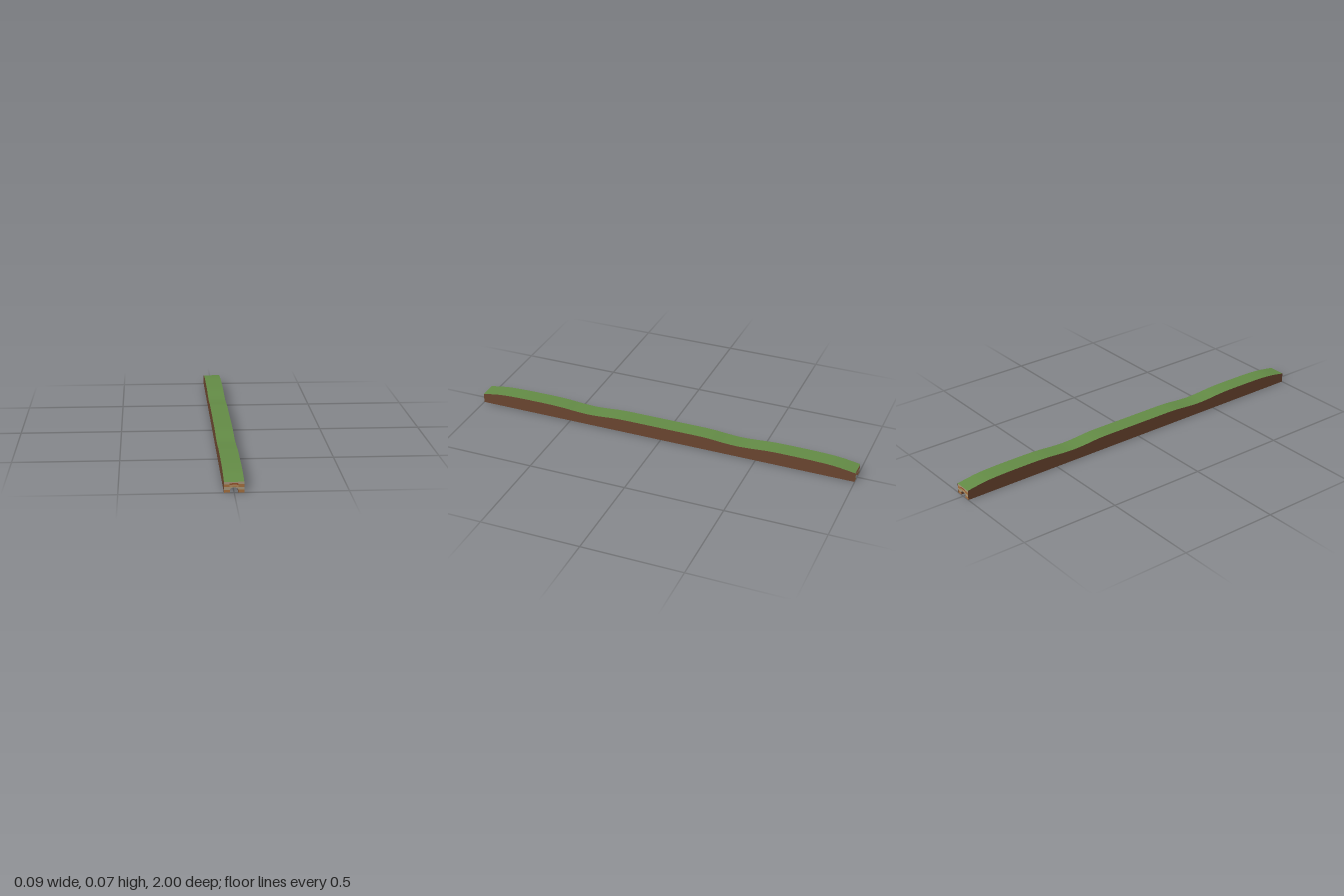
import * as THREE from 'three';

const W = 0.044;      // half width of the hill
const L = 1;          // half length
const R = 0.018;      // half width of the bore
const BAND = 0.0125;  // height of one masonry course
const ARCH = 0.0105;  // rise of the bore's arch above the first course

const paint = (color) => new THREE.MeshStandardMaterial({ color, side: THREE.DoubleSide });

// Surface ruled between two edges: a(t) and b(t), t from 0 to 1
function ruled(name, a, b, steps, material) {
  const geo = new THREE.PlaneGeometry(1, 1, steps, 1);
  const pos = geo.attributes.position;
  for (let i = 0; i <= steps; i++) {
    pos.setXYZ(i, ...a(i / steps));
    pos.setXYZ(i + steps + 1, ...b(i / steps));
  }
  geo.computeVertexNormals();
  const mesh = new THREE.Mesh(geo, material);
  mesh.name = name;
  return mesh;
}

function flat(name, shape, z, material) {
  const mesh = new THREE.Mesh(new THREE.ShapeGeometry(shape, 16), material);
  mesh.position.z = z;
  mesh.name = name;
  return mesh;
}

function rect(x0, x1, y0, y1) {
  return new THREE.Shape([[x0, y0], [x1, y0], [x1, y1], [x0, y1]].map((p) => new THREE.Vector2(...p)));
}

// Gently bowed band of bricks above the opening
function bowed(half, y0, y1, drop) {
  const s = new THREE.Shape();
  s.moveTo(-half, y0 - drop);
  s.quadraticCurveTo(0, y0 + drop, half, y0 - drop);
  s.lineTo(half, y1 - drop);
  s.quadraticCurveTo(0, y1 + drop, -half, y1 - drop);
  s.closePath();
  return s;
}

function createPortal(name) {
  const portal = new THREE.Group();
  portal.name = name;
  const brown = paint(0xa6703f), tan = paint(0xa8977a);
  const z = L - 0.001;
  for (const s of [-1, 1]) {
    const xs = [s * R, s * W].sort((p, q) => p - q);
    portal.add(flat('portalFoot', rect(xs[0], xs[1], 0, BAND), z, brown));
  }
  const springer = new THREE.Shape();
  springer.moveTo(-W, BAND);
  springer.lineTo(-R, BAND);
  springer.absellipse(0, BAND, R, ARCH, Math.PI, 0, true);
  springer.lineTo(W, BAND);
  springer.lineTo(W, 2 * BAND);
  springer.lineTo(-W, 2 * BAND);
  springer.closePath();
  portal.add(flat('springerCourse', springer, z, tan));
  portal.add(flat('middleCourse', rect(-W, W, 2 * BAND, 3 * BAND), z, brown));
  portal.add(flat('topCourse', rect(-W, W, 3 * BAND, 0.049), z, tan));
  portal.add(flat('archStones', bowed(0.019, 0.027, 0.036, 0.001), L, paint(0xb08a5c)));
  portal.add(flat('brickLintel', bowed(0.019, 0.036, 0.043, 0.001), L, paint(0x98502e)));
  return portal;
}

export function createModel() {
  const group = new THREE.Group();
  group.name = 'tunnelHill';

  // Ridge heights from the middle to one end, mirrored
  const half = [[0, 0.07], [0.1, 0.07], [0.2, 0.07], [0.26, 0.068], [0.33, 0.062], [0.4, 0.059],
    [0.47, 0.062], [0.55, 0.068], [0.62, 0.07], [0.7, 0.07], [0.8, 0.069], [0.9, 0.064], [1, 0.049]];
  const full = [...half.slice(1).reverse().map(([z, y]) => [-z, y]), ...half];
  const ridge = new THREE.SplineCurve(full.map((p) => new THREE.Vector2(...p)));
  const at = (t) => ridge.getPoint(t);

  const soil = paint(0x6b4630), grass = paint(0x648c46);
  const top = (x) => (t) => [x, at(t).y, at(t).x];
  const base = (x) => (t) => [x, 0, at(t).x];

  group.add(ruled('grassTop', top(W), top(-W), 120, grass));
  group.add(ruled('leftSlope', base(W), top(W), 120, soil));
  group.add(ruled('rightSlope', top(-W), base(-W), 120, soil));

  // Undersides and inner walls beside the bore
  const line = (x, y) => (t) => [x, y, (2 * t - 1) * L * 0.999];
  for (const s of [-1, 1]) {
    const side = s > 0 ? 'left' : 'right';
    const pair = s > 0 ? [line(R, 0), line(W, 0)] : [line(-W, 0), line(-R, 0)];
    group.add(ruled(side + 'Foot', ...pair, 1, soil));
    const wall = [line(s * R, 0), line(s * R, BAND)];
    if (s > 0) wall.reverse();
    group.add(ruled(side + 'BoreWall', ...wall, 1, soil));
  }

  // Vaulted ceiling of the bore
  const vault = (z) => (t) => [-R * Math.cos(Math.PI * t), BAND + ARCH * Math.sin(Math.PI * t), z];
  group.add(ruled('boreVault', vault(-L * 0.999), vault(L * 0.999), 16, paint(0x6a6348)));

  const front = createPortal('frontPortal');
  const back = createPortal('backPortal');
  back.rotation.y = Math.PI;
  group.add(front, back);
  return group;
}
